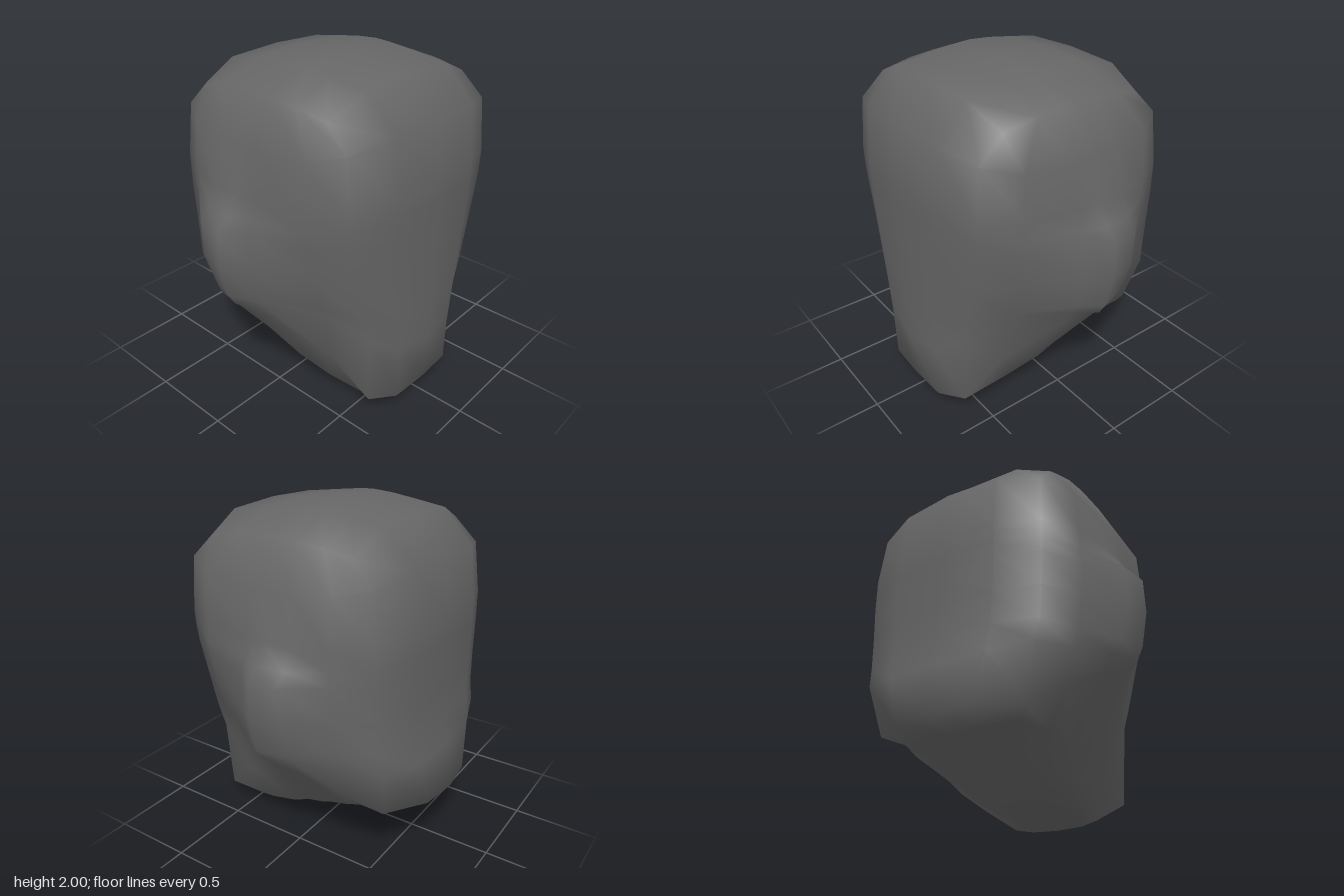
import * as THREE from 'three';

const mix = (a, b, t) => a + (b - a) * t;

// Half outline of a level, running from front centre round the left side to back centre.
function level({ y, z, c, s, ear, b, k }) {
  const [yF, yS, yB] = y, [zF, zB] = z;
  return [
    [0, yF, zF], [c * 0.57, mix(yF, yS, 0.1), zF - 0.025], [c, mix(yF, yS, 0.45), zF - 0.11],
    [s, mix(yF, yS, 0.85), 0.43],
    [ear[0], yS, 0.12], [ear[1], yS, 0], [ear[2], yS, -0.16],
    [b, mix(yB, yS, 0.8), -0.37],
    [k, mix(yB, yS, 0.45), zB + 0.1], [k * 0.57, mix(yB, yS, 0.1), zB + 0.02], [0, yB, zB],
  ];
}

// Rim of the crown, jaw edge and rim of the underside
const crown = [
  [0, 1.94, 0.51], [0.34, 1.925, 0.51], [0.57, 1.83, 0.47], [0.585, 1.865, 0.28], [0.59, 1.88, 0.12],
  [0.59, 1.88, 0.03], [0.59, 1.88, -0.1], [0.585, 1.865, -0.25], [0.56, 1.83, -0.41],
  [0.34, 1.925, -0.44], [0, 1.94, -0.44],
];
const jaw = [
  [0, 0.11, 0.72], [0.24, 0.11, 0.71], [0.39, 0.13, 0.62], [0.46, 0.36, 0.4], [0.65, 0.61, 0.13],
  [0.75, 0.69, 0], [0.69, 0.63, -0.16], [0.59, 0.51, -0.37], [0.47, 0.39, -0.56],
  [0.23, 0.38, -0.71], [0, 0.38, -0.74],
];
const underside = [
  [0, 0.005, 0.51], [0.17, 0.01, 0.5], [0.28, 0.03, 0.48], [0.37, 0.12, 0.3], [0.42, 0.2, 0.1],
  [0.44, 0.26, 0], [0.45, 0.3, -0.12], [0.43, 0.33, -0.3], [0.37, 0.35, -0.46],
  [0.2, 0.335, -0.51], [0, 0.33, -0.52],
];

// Levels from the brow down past the ears to the cheeks
const middle = [
  { y: [1.75, 1.63, 1.75], z: [0.72, -0.645], c: 0.58, s: 0.685, ear: [0.70, 0.70, 0.70], b: 0.675, k: 0.57 },
  { y: [1.40, 1.38, 1.40], z: [0.745, -0.675], c: 0.59, s: 0.70, ear: [0.735, 0.75, 0.75], b: 0.70, k: 0.59 },
  { y: [1.30, 1.27, 1.30], z: [0.745, -0.675], c: 0.585, s: 0.70, ear: [0.76, 0.815, 0.80], b: 0.70, k: 0.59 },
  { y: [1.18, 1.20, 1.20], z: [0.745, -0.675], c: 0.57, s: 0.69, ear: [0.79, 0.885, 0.865], b: 0.70, k: 0.59 },
  { y: [0.95, 1.00, 1.00], z: [0.745, -0.675], c: 0.52, s: 0.65, ear: [0.81, 0.89, 0.86], b: 0.69, k: 0.58 },
  { y: [0.65, 0.80, 0.82], z: [0.745, -0.68], c: 0.46, s: 0.58, ear: [0.77, 0.85, 0.80], b: 0.67, k: 0.57 },
  { y: [0.42, 0.73, 0.65], z: [0.745, -0.703], c: 0.41, s: 0.53, ear: [0.72, 0.81, 0.75], b: 0.64, k: 0.55 },
].map(level);

function headGeometry() {
  const halves = [crown, ...middle, jaw, underside];
  const N = 20, pos = [], index = [];
  const add = (x, y, z) => pos.push(x, y, z) / 3 - 1;

  // Mirror each half outline into a full ring
  for (const h of halves) {
    for (let i = 0; i < N; i++) {
      const [x, y, z] = h[i <= 10 ? i : N - i];
      add(i <= 10 ? x : -x, y, z);
    }
  }
  // Walls between neighbouring rings
  for (let r = 0; r < halves.length - 1; r++) {
    for (let i = 0; i < N; i++) {
      const j = (i + 1) % N;
      const a = r * N + i, b = r * N + j, c = a + N, d = b + N;
      index.push(a, c, d, a, d, b);
    }
  }
  // Gridded caps, domed by the heights along the centre line
  function cap(ring, heights, up) {
    const base = ring * N, half = halves[ring];
    const rows = [[18, 19, 0, 1, 2].map(i => base + i)];
    heights.forEach((h, n) => {
      const i = n + 3, [x, y, z] = half[i];
      const my = mix(h, y, 0.15);
      rows.push([base + N - i, add(-x * 0.57, my, z), add(0, h, z), add(x * 0.57, my, z), base + i]);
    });
    rows.push([12, 11, 10, 9, 8].map(i => base + i));
    for (let r = 0; r < rows.length - 1; r++) {
      for (let q = 0; q < 4; q++) {
        const a = rows[r][q], b = rows[r][q + 1], c = rows[r + 1][q + 1], d = rows[r + 1][q];
        if (up) index.push(a, b, c, a, c, d);
        else index.push(a, c, b, a, d, c);
      }
    }
  }
  cap(0, [1.972, 1.993, 2.0, 1.99, 1.97], true);
  cap(halves.length - 1, [0.045, 0.08, 0.1, 0.155, 0.235], false);

  const g = new THREE.BufferGeometry();
  g.setAttribute('position', new THREE.Float32BufferAttribute(pos, 3));
  g.setIndex(index);
  g.computeVertexNormals();
  return g;
}

export function createModel() {
  const group = new THREE.Group();
  group.name = 'headModel';
  const grey = new THREE.MeshStandardMaterial({ color: 0x666666 });
  grey.name = 'plain grey';
  const head = new THREE.Mesh(headGeometry(), grey);
  head.name = 'head';
  group.add(head);
  return group;
}
